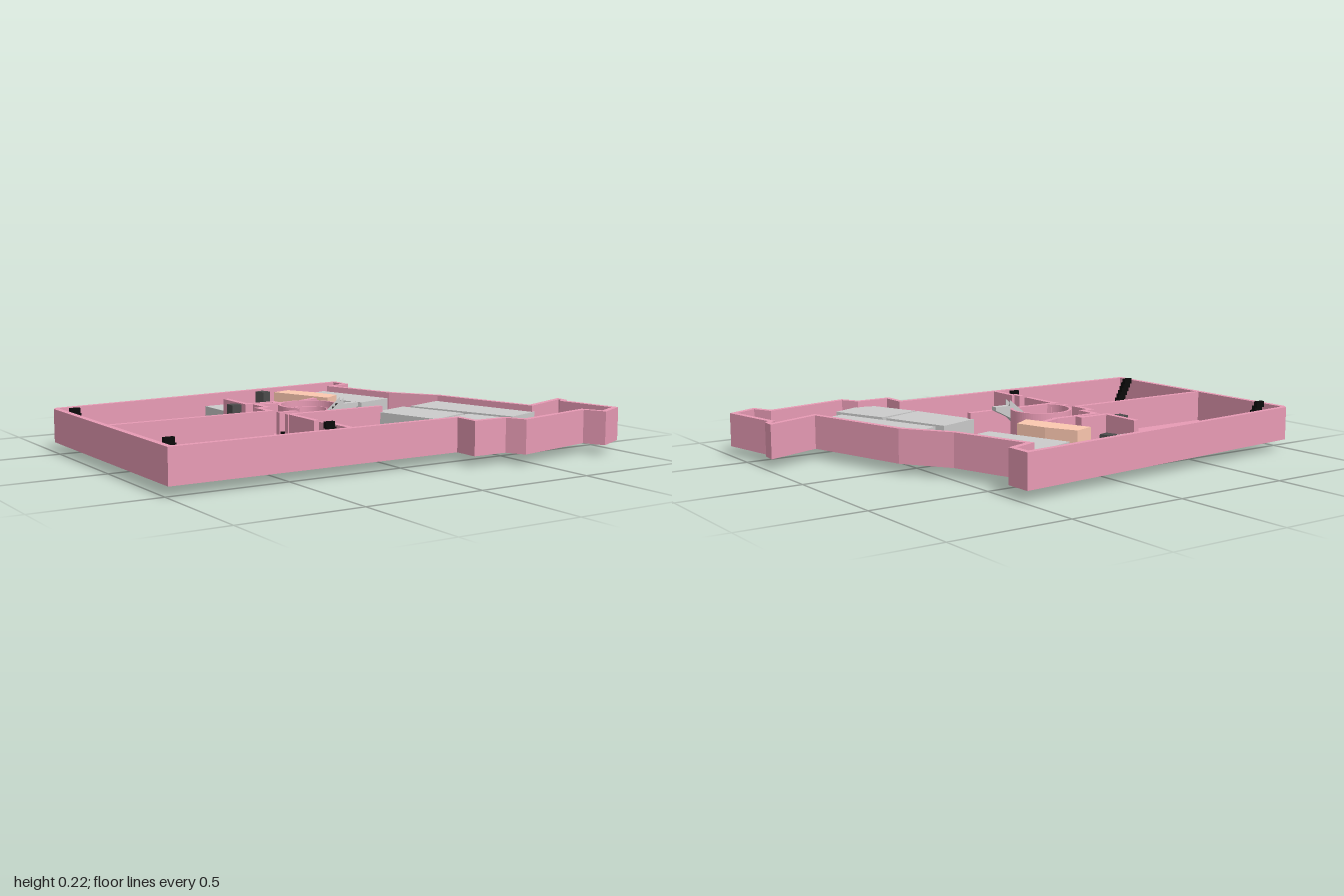
import * as THREE from 'three';

const mat = (color) => new THREE.MeshStandardMaterial({ color, flatShading: true });
const BASE = 0.042, TOP = 0.181;

export function createModel() {
  const model = new THREE.Group();
  const pink = mat(0xe89bb5), grey = mat(0xcccccc), peach = mat(0xfcc8b0);
  const dark = mat(0x4c4c4c), black = mat(0x0a0a0a);

  const add = (name, geo, material, x = 0, y = 0, z = 0, ry = 0) => {
    const m = new THREE.Mesh(geo, material);
    m.name = name;
    m.position.set(x, y, z);
    m.rotation.y = ry;
    model.add(m);
  };
  const toPoints = (pts) => pts.map(([x, z]) => new THREE.Vector2(x, -z)).reverse();

  // Upright prism over a plan outline given as [x, z], clockwise from above
  const prism = (pts, y0, y1, hole) => {
    const shape = new THREE.Shape(toPoints(pts));
    if (hole) shape.holes.push(new THREE.Path(toPoints(hole)));
    const g = new THREE.ExtrudeGeometry(shape, { depth: y1 - y0, bevelEnabled: false });
    return g.rotateX(-Math.PI / 2).translate(0, y0, 0);
  };

  // Mitred inset of a closed outline
  const inset = (pts, d) => pts.map((p, i) => {
    const a = pts[(i + pts.length - 1) % pts.length], b = pts[(i + 1) % pts.length];
    const normal = (s, e) => {
      const l = Math.hypot(e[0] - s[0], e[1] - s[1]);
      return [-(e[1] - s[1]) / l, (e[0] - s[0]) / l];
    };
    const n = normal(a, p), m = normal(p, b);
    const k = d / (1 + n[0] * m[0] + n[1] * m[1]);
    return [p[0] + (n[0] + m[0]) * k, p[1] + (n[1] + m[1]) * k];
  });

  // Outer walls and floor
  const outline = [
    [-1, -0.555], [-0.98, -0.582], [0.485, -0.725], [0.485, -0.61], [0.385, -0.575],
    [0.485, -0.25], [0.615, -0.057], [0.74, 0.4], [0.98, 0.308], [0.975, 0.37],
    [0.953, 0.39], [1, 0.655], [0.865, 0.722], [0.825, 0.635], [0.45, 0.713], [0.41, 0.637],
    [0.255, 0.637], [0.255, 0.528], [-1, 0.528],
  ];
  add('outerWalls', prism(outline, BASE, TOP, inset(outline, 0.024)), pink);
  add('floor', prism(outline, BASE, BASE + 0.008), pink);

  // Partition walls: one box per straight run
  const partitions = [
    [[-0.985, -0.038], [-0.272, -0.038], [-0.272, -0.135], [-0.228, -0.14], [-0.228, -0.225],
      [-0.02, -0.225], [0.1, -0.275]],
    [[-0.255, -0.44], [-0.255, -0.265], [-0.125, -0.265], [-0.125, -0.235]],
    [[-0.255, 0.087], [0.18, 0.087]],
    [[-0.25, 0.09], [-0.25, 0.275]],
    [[-0.25, 0.338], [-0.25, 0.375]],
    [[-0.235, 0.375], [-0.235, 0.505]],
    [[-0.255, 0.02], [-0.19, 0.02]],
  ];
  const T = 0.024;
  for (const path of partitions) {
    for (let i = 1; i < path.length; i++) {
      const [x0, z0] = path[i - 1], [x1, z1] = path[i];
      const len = Math.hypot(x1 - x0, z1 - z0);
      add('partitionWall', new THREE.BoxGeometry(len + T, TOP - BASE - 0.001, T), pink,
        (x0 + x1) / 2, (TOP + BASE) / 2, (z0 + z1) / 2, -Math.atan2(z1 - z0, x1 - x0));
    }
  }

  // Round room: curved walls open towards the front
  const curvedWall = (name, r, t, a0, a1, top) => {
    const s = new THREE.Shape();
    s.absarc(0, 0, r, a0, a1, false);
    s.absarc(0, 0, r - t, a1, a0, true);
    const g = new THREE.ExtrudeGeometry(s, { depth: top - BASE, bevelEnabled: false, curveSegments: 28 });
    add(name, g.rotateX(-Math.PI / 2), pink, -0.078, BASE, -0.05);
  };
  curvedWall('roundRoomWall', 0.128, 0.012, -0.7, Math.PI + 0.7, 0.191);
  curvedWall('innerCurvedWall', 0.092, 0.006, 0, Math.PI / 2 + 0.2, 0.17);
  add('roundRoomSill', new THREE.BoxGeometry(0.11, 0.1, 0.008), pink, -0.035, 0.095, 0.025);
  for (const z of [-0.088, -0.038]) {
    add('roundRoomCabinet', new THREE.BoxGeometry(0.038, 0.08, 0.04), dark, -0.103, BASE + 0.044, z);
  }

  // Large solid blocks, each with its top height
  const blocks = [
    [0.155, [[0.16, -0.55], [0.35, -0.615], [0.46, -0.245], [0.283, -0.193]]],
    [0.155, [[0.4, 0.015], [0.61, -0.06], [0.735, 0.435], [0.57, 0.49]]],
    [0.155, [[0.175, 0.075], [0.363, 0.01], [0.46, 0.305], [0.262, 0.38]]],
    [0.155, [[0.267, 0.39], [0.465, 0.33], [0.555, 0.567], [0.423, 0.625], [0.348, 0.6]]],
    [0.128, [[-0.265, -0.63], [-0.116, -0.637], [-0.116, -0.433], [-0.265, -0.433]]],
  ];
  for (const [top, plan] of blocks) add('block', prism(plan, BASE + 0.004, top), grey);
  add('peachBlock', prism([[0.01, -0.49], [0.1, -0.52], [0.16, -0.395], [0.197, -0.262], [0.112, -0.205]],
    BASE - 0.001, 0.187), peach);

  // Tall cabinets
  for (const [x, z, ry] of [[0.017, -0.605, 0.3], [-0.295, -0.302, 0]]) {
    add('tallCabinet', new THREE.BoxGeometry(0.044, 0.13, 0.05), dark, x, BASE + 0.07, z, ry);
  }
  add('smallCabinet', new THREE.BoxGeometry(0.03, 0.09, 0.03), dark, 0.302, 0.095, 0.585, 0.3);
  add('postBox', new THREE.BoxGeometry(0.024, 0.07, 0.04), black, -0.25, 0.067, 0.05);

  // Main stair passing down through the floor: sloped body, side panels and treads
  const profile = (pts, depth) => new THREE.ExtrudeGeometry(
    new THREE.Shape(pts.map(([x, y]) => new THREE.Vector2(x, y))), { depth, bevelEnabled: false });
  const underside = [[-0.21, 0], [-0.15, 0], [0.02, 0.15], [0.09, 0.185], [0.09, 0.2], [0.02, 0.2]];
  add('stairBody', profile([...underside, [0, 0.19], [-0.21, 0.02]], 0.026), grey, 0, 0, 0.039);
  for (const z of [0.037, 0.065]) {
    add('stairSidePanel', profile([...underside, [0.02, 0.225], [-0.21, 0.04]], 0.002), grey, 0, 0, z);
  }
  for (let i = 0; i < 10; i++) {
    add('stairTread', new THREE.BoxGeometry(0.012, 0.008, 0.026), dark,
      -0.138 + i * 0.0155, 0.083 + i * 0.0125, 0.052);
  }

  // Flat floor panels
  const panels = [
    [-0.62, -0.333, 0, 0.086], [-0.62, 0.15, 0, 0.086], [0, 0.233, 0, 0.086],
    [-0.288, -0.385, 0, 0.07], [0.045, -0.53, -1.25, 0.07], [0.232, 0.44, 0.3, 0.06],
  ];
  for (const [x, z, ry, length] of panels) {
    add('floorPanel', new THREE.BoxGeometry(0.042, 0.006, length), black, x, BASE + 0.01, z, ry);
  }

  // Steep corner stairs rising towards the back
  const stairs = [
    [-0.948, -0.423, 0, 7], [-0.938, 0.44, 0, 7], [-0.267, 0.44, 0, 7], [0.435, -0.655, -1.2, 5],
  ];
  for (const [x, z, ry, steps] of stairs) {
    const flight = new THREE.Group();
    flight.name = 'cornerStair';
    flight.position.set(x, 0, z);
    flight.rotation.y = ry;
    for (let i = 0; i < steps; i++) {
      const step = new THREE.Mesh(new THREE.BoxGeometry(0.042, 0.026, 0.018), black);
      step.name = 'cornerStep';
      step.position.set(0, 0.06 + i * 0.02, 0.033 - i * 0.066 / (steps - 1));
      flight.add(step);
    }
    model.add(flight);
  }
  return model;
}
